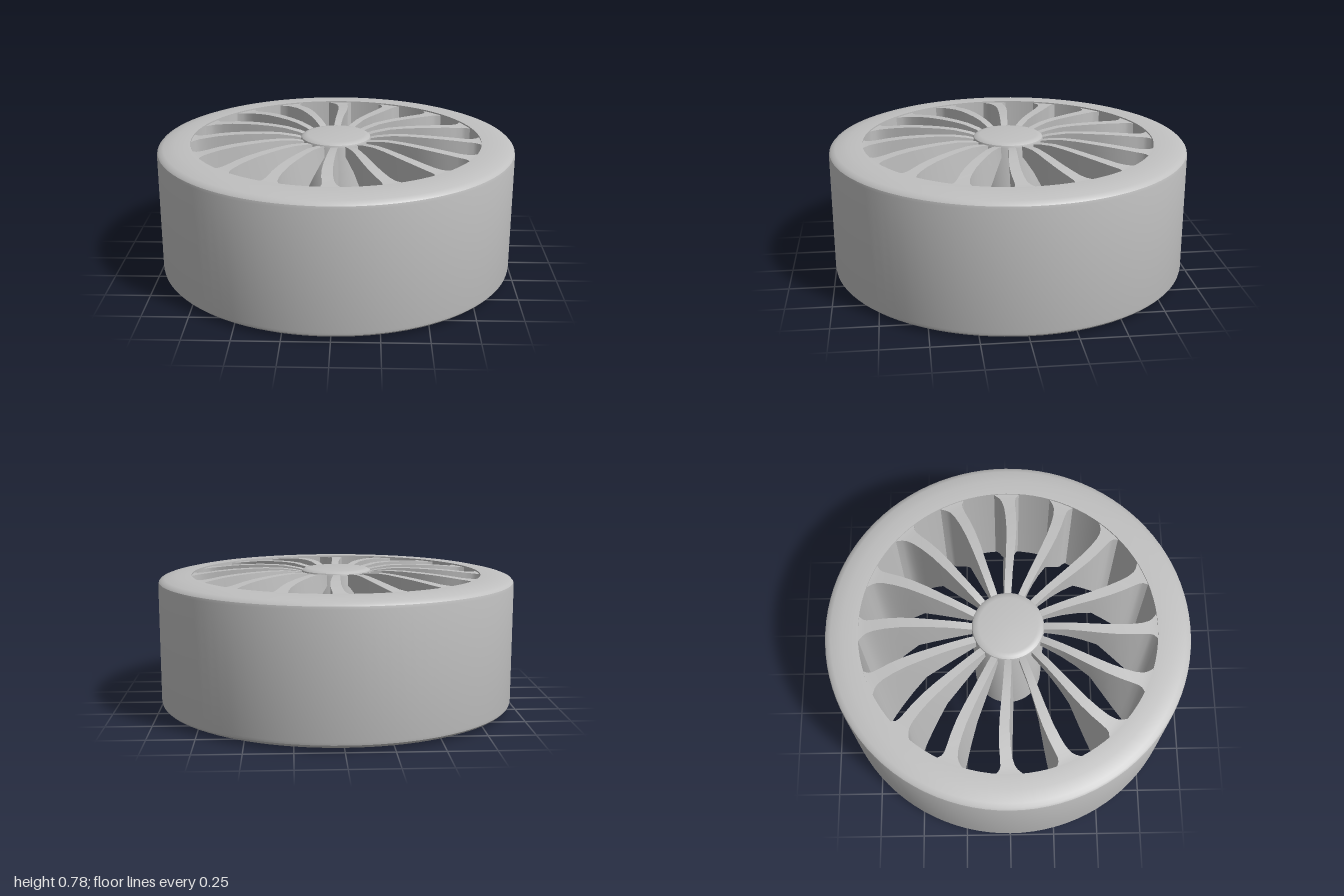
import * as THREE from 'three';
import { toCreasedNormals } from 'three/addons/utils/BufferGeometryUtils.js';

const SPOKES = 16;

// Solid of revolution around y from [radius, height] pairs
function turned(profile, segments) {
  const pts = profile.map(([r, y]) => new THREE.Vector2(r, y));
  return toCreasedNormals(new THREE.LatheGeometry(pts, segments), 0.5);
}

// Curved spoke running outwards along -z, lofted through four-cornered sections
function spokeGeometry() {
  // radius, sideways centre, half width, top height, bottom height
  const sections = [
    [0.17, 0.000, 0.018, 0.755, 0.71],
    [0.23, 0.004, 0.020, 0.768, 0.69],
    [0.32, 0.010, 0.021, 0.778, 0.65],
    [0.41, 0.017, 0.023, 0.778, 0.60],
    [0.50, 0.024, 0.026, 0.774, 0.54],
    [0.59, 0.028, 0.028, 0.768, 0.37],
    [0.67, 0.026, 0.030, 0.760, 0.21],
    [0.73, 0.020, 0.032, 0.752, 0.09],
    [0.77, 0.013, 0.038, 0.748, 0.02],
    [0.79, 0.008, 0.048, 0.746, 0.015],
    [0.815, 0.003, 0.074, 0.745, 0.015],
    [0.85, 0.003, 0.074, 0.745, 0.015],
  ];
  const position = [];
  const index = [];
  sections.forEach(([r, c, w, top, bottom], i) => {
    // the lower edge leans sideways, most of all halfway out
    const lean = -0.018 * Math.sin(Math.PI * Math.min(1, (r - 0.17) / 0.62));
    position.push(c - w, top, -r, c + w, top, -r);
    position.push(c + w + lean, bottom, -r, c - w + lean, bottom, -r);
    if (i === sections.length - 1) return;
    for (let k = 0; k < 4; k++) {
      const a = i * 4 + k;
      const b = i * 4 + ((k + 1) % 4);
      index.push(a, b, b + 4, a, b + 4, a + 4);
    }
  });
  const g = new THREE.BufferGeometry();
  g.setAttribute('position', new THREE.Float32BufferAttribute(position, 3));
  g.setIndex(index);
  return toCreasedNormals(g, 0.6);
}

export function createModel() {
  const model = new THREE.Group();
  model.name = 'wheel';
  const grey = new THREE.MeshStandardMaterial({ color: 0xc0c0c0 });
  grey.name = 'light grey';

  const add = (geometry, name, parent = model) => {
    const mesh = new THREE.Mesh(geometry, grey);
    mesh.name = name;
    parent.add(mesh);
    return mesh;
  };

  // Broad tyre with softly rounded shoulders and a straight inner wall
  add(turned([
    [0.815, 0], [0.9, 0], [0.965, 0.014], [0.987, 0.024], [0.997, 0.035], [1, 0.05],
    [1, 0.705], [0.997, 0.72], [0.987, 0.731], [0.965, 0.739], [0.9, 0.753],
    [0.815, 0.753], [0.815, 0],
  ], 96), 'tyre');

  // Central hub with a bevelled cap
  add(turned([
    [0, 0], [0.197, 0], [0.197, 0.755], [0.193, 0.768], [0.18, 0.777], [0.16, 0.78], [0, 0.78],
  ], 48), 'hub');

  // Ring of swept spokes
  const spokes = new THREE.Group();
  spokes.name = 'spokes';
  model.add(spokes);
  const geometry = spokeGeometry();
  for (let i = 0; i < SPOKES; i++) {
    add(geometry, 'spoke', spokes).rotation.y = (i / SPOKES) * Math.PI * 2;
  }
  return model;
}
